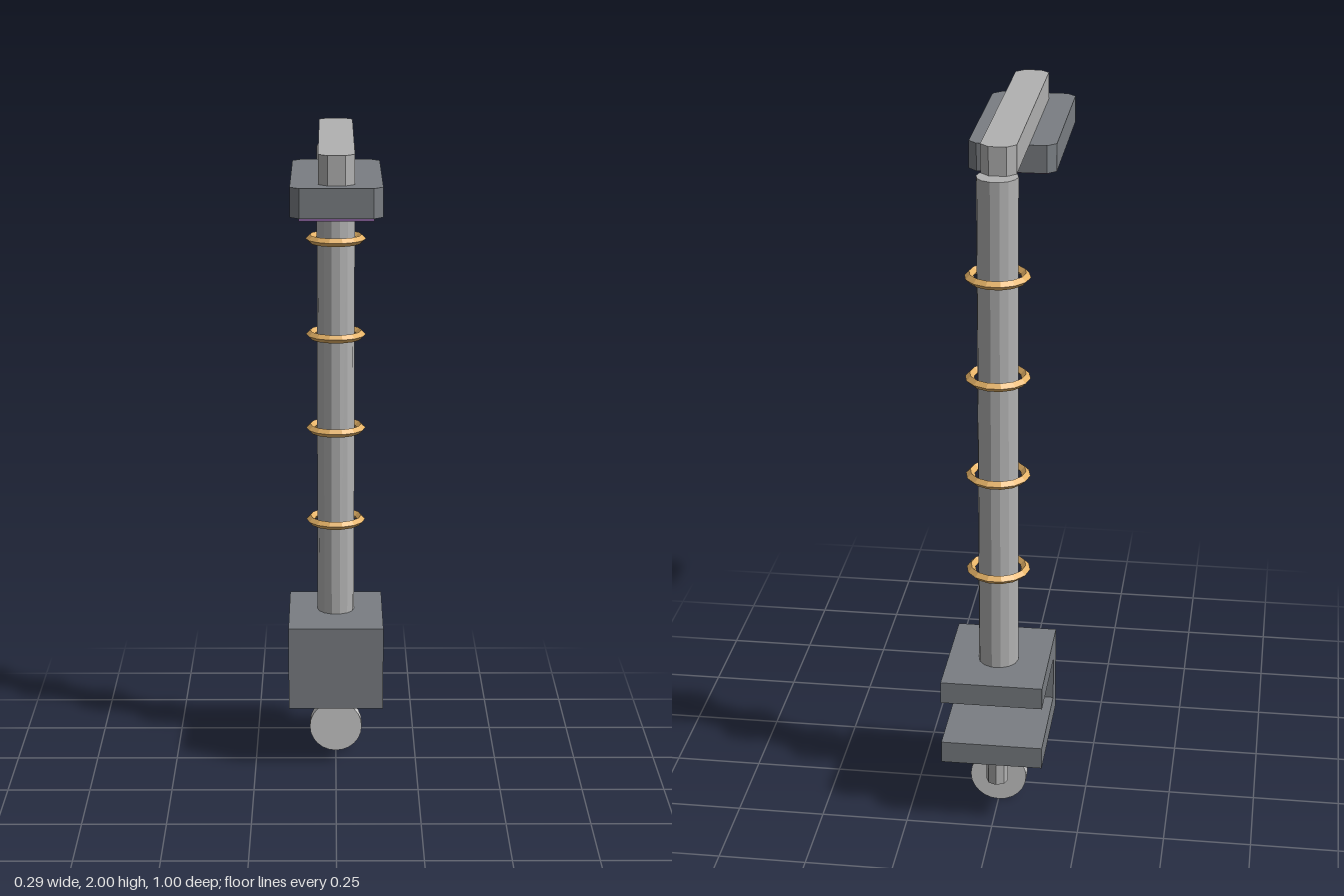
import * as THREE from 'three';

const DARK = 0x7a7e83, METAL = 0xb2b2b2, GOLD = 0xe5b266, PURPLE = 0x8a62a0, LIGHT = 0xcccccc;
const POLE_Z = -0.337;

function part(name, geometry, color, x = 0, y = 0, z = 0) {
  const mesh = new THREE.Mesh(geometry, new THREE.MeshStandardMaterial({ color, flatShading: true }));
  mesh.name = name;
  mesh.position.set(x, y, z);
  return mesh;
}

// Horizontal slab with chamfered corners, base at y = 0, centred on x and z
function chamferedSlab(width, height, length, c) {
  const w = width / 2, l = length / 2;
  const corners = [[w - c, -l], [w, -l + c], [w, l - c], [w - c, l], [c - w, l], [-w, l - c], [-w, -l + c], [c - w, -l]];
  const shape = new THREE.Shape(corners.map(([x, y]) => new THREE.Vector2(x, y)));
  return new THREE.ExtrudeGeometry(shape, { depth: height, bevelEnabled: false }).rotateX(-Math.PI / 2);
}

// C-shaped clamp, opening towards the back
function clampGeometry(width) {
  const front = 0.143, back = 0.5, inner = 0.207;
  const outline = [[front, 0.21], [back, 0.21], [back, 0.275], [inner, 0.275],
    [inner, 0.405], [back, 0.405], [back, 0.47], [front, 0.47]];
  const shape = new THREE.Shape(outline.map(([x, y]) => new THREE.Vector2(x, y)));
  return new THREE.ExtrudeGeometry(shape, { depth: width, bevelEnabled: false })
    .translate(0, 0, -width / 2).rotateY(Math.PI / 2);
}

export function createModel() {
  const model = new THREE.Group();
  model.name = 'clampLamp';

  // Clamp with its screw and thumb knob
  model.add(part('clamp', clampGeometry(0.29), DARK));
  model.add(part('clampScrew', new THREE.CylinderGeometry(0.032, 0.032, 0.125, 8), METAL, 0, 0.1475, -0.375));
  const knob = new THREE.CylinderGeometry(0.082, 0.082, 0.04, 24).rotateX(Math.PI / 2);
  model.add(part('knob', knob, LIGHT, 0, 0.084, -0.331));

  // Upright pole with evenly spaced rings
  const pole = new THREE.CylinderGeometry(0.057, 0.057, 1.45, 14).rotateY(Math.PI / 2);
  model.add(part('pole', pole, METAL, 0, 1.195, POLE_Z));
  for (let i = 0; i < 4; i++) {
    const ring = new THREE.TorusGeometry(0.078, 0.0125, 4, 14).rotateX(Math.PI / 2);
    model.add(part('poleRing' + (i + 1), ring, GOLD, 0, 0.763 + i * 0.2925, POLE_Z));
  }

  // Arm, lamp head and light panel
  model.add(part('arm', chamferedSlab(0.098, 0.08, 0.792, 0.025), METAL, 0, 1.92, 0.059));
  model.add(part('lampHead', chamferedSlab(0.247, 0.08, 0.543, 0.025), DARK, 0, 1.84, 0.2285));
  model.add(part('lightPanel', new THREE.BoxGeometry(0.2, 0.02, 0.46), PURPLE, 0, 1.836, 0.2285));

  return model;
}
